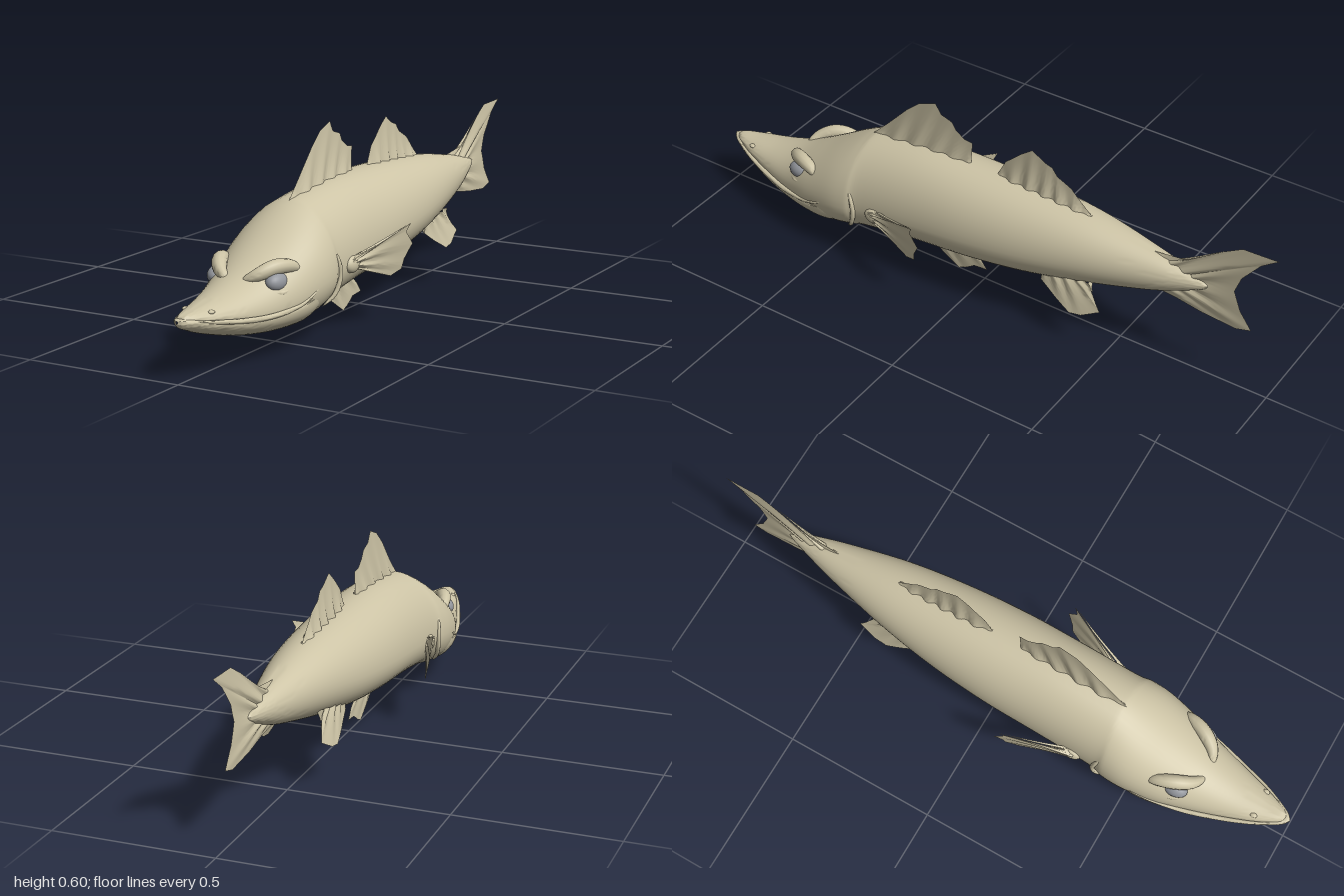
import * as THREE from 'three';
import { toCreasedNormals } from 'three/addons/utils/BufferGeometryUtils.js';

const V = (x, y, z) => new THREE.Vector3(x, y, z);
const lerp = THREE.MathUtils.lerp;

// Skin a list of closed rings; the winding is turned outward by the sign of the volume
function loft(rings, crease = 0.8) {
  const n = rings[0].length, pos = [], idx = [];
  const centre = V(0, 0, 0);
  rings.flat().forEach(p => { pos.push(p.x, p.y, p.z); centre.add(p); });
  centre.divideScalar(pos.length / 3);
  for (let i = 0; i < rings.length - 1; i++) for (let j = 0; j < n; j++) {
    const a = i * n + j, b = i * n + (j + 1) % n;
    idx.push(a, b, b + n, a, b + n, a + n);
  }
  const all = rings.flat().map(p => p.clone().sub(centre));
  let volume = 0;
  for (let k = 0; k < idx.length; k += 3) {
    volume += all[idx[k]].dot(all[idx[k + 1]].clone().cross(all[idx[k + 2]]));
  }
  if (volume < 0) idx.reverse();
  const g = new THREE.BufferGeometry();
  g.setAttribute('position', new THREE.Float32BufferAttribute(pos, 3));
  g.setIndex(idx);
  return toCreasedNormals(g, crease);
}

// Smoothly subdivide a table of stations
function refine(rows, k) {
  const out = [];
  for (let i = 0; i < rows.length - 1; i++) {
    const p0 = rows[Math.max(i - 1, 0)], p1 = rows[i], p2 = rows[i + 1], p3 = rows[Math.min(i + 2, rows.length - 1)];
    for (let s = 0; s < k; s++) {
      const t = s / k;
      out.push(p1.map((a, c) => {
        const slope = p2[c] - p0[c];
        const bend = 2 * p0[c] - 5 * a + 4 * p2[c] - p3[c];
        const twist = 3 * (a - p2[c]) + p3[c] - p0[c];
        return a + 0.5 * t * (slope + t * (bend + t * twist));
      }));
    }
  }
  out.push(rows[rows.length - 1]);
  return out;
}

// Egg-shaped section: [z, top, bottom, half width, height of widest point, squareness below]
function section([z, top, bottom, w, mid, sq]) {
  return Array.from({ length: 48 }, (_, j) => {
    const a = j / 48 * Math.PI * 2, c = Math.cos(a), s = Math.sin(a);
    const p = s < 0 ? sq : 1;
    return V(Math.sign(c) * Math.pow(Math.abs(c), p) * w, mid + s * (s > 0 ? top - mid : mid - bottom), z);
  });
}
const hull = rows => loft(refine(rows, 6).map(section));

// Tapered roll of flesh along a curve
function roll(points, radius) {
  const curve = new THREE.CatmullRomCurve3(points), n = 24, f = curve.computeFrenetFrames(n);
  return loft(Array.from({ length: n + 1 }, (_, i) => {
    const p = curve.getPointAt(i / n), r = radius * Math.sqrt(Math.sin(Math.PI * i / n) + 0.0001);
    return Array.from({ length: 12 }, (_, j) => {
      const a = j / 12 * Math.PI * 2;
      return p.clone().addScaledVector(f.normals[i], r * Math.cos(a)).addScaledVector(f.binormals[i], r * Math.sin(a));
    });
  }));
}

// Point at a fraction u of a [z, y] polyline
function along(line, u) {
  const f = u * (line.length - 1), i = Math.min(Math.floor(f), line.length - 2);
  return [0, 1].map(c => lerp(line[i][c], line[i + 1][c], f - i));
}

// Ribbed fin running from a root line to an outer edge, thinning outward
function fin(root, edge, thick, rays, place = V) {
  const cols = (edge.length - 1) * 6, rows = 8, rings = [];
  for (let i = 0; i <= rows; i++) {
    const t = i / rows, front = [], back = [];
    for (let j = 0; j <= cols; j++) {
      const u = j / cols, a = along(root, u), b = along(edge, u);
      const z = lerp(a[0], b[0], t), y = lerp(a[1], b[1], t);
      const h = (thick * (1 - t) ** 2 + 0.004 * (1 - t) + 0.001) * (1 + 0.4 * Math.cos(u * rays * Math.PI * 2));
      front.push(place(h, y, z));
      back.unshift(place(-h, y, z));
    }
    rings.push([...front, ...back]);
  }
  return loft(rings, 0.6);
}

export function createModel() {
  const skin = new THREE.MeshStandardMaterial({ color: 0xcdc4a6 });
  skin.name = 'sandy skin';
  const eyeGrey = new THREE.MeshStandardMaterial({ color: 0x93969c });
  eyeGrey.name = 'eye grey';
  const model = new THREE.Group();
  model.name = 'fish';
  const add = (name, geometry, material = skin) => {
    const m = new THREE.Mesh(geometry, material);
    m.name = name;
    model.add(m);
    return m;
  };

  // Body with the upper head and snout
  add('body', hull([
    [0.985, 0.182, 0.178, 0.002, 0.18, 1],
    [0.97, 0.192, 0.168, 0.022, 0.178, 1],
    [0.9, 0.2, 0.145, 0.055, 0.168, 1],
    [0.8, 0.218, 0.12, 0.089, 0.155, 0.9],
    [0.7, 0.25, 0.1, 0.12, 0.152, 0.8],
    [0.6, 0.302, 0.08, 0.15, 0.17, 0.7],
    [0.5, 0.362, 0.075, 0.167, 0.195, 0.72],
    [0.43, 0.4, 0.085, 0.167, 0.205, 0.8],
    [0.38, 0.415, 0.093, 0.157, 0.215, 0.85],
    [0.2, 0.435, 0.115, 0.155, 0.235, 0.95],
    [0, 0.437, 0.13, 0.153, 0.255, 1],
    [-0.2, 0.43, 0.155, 0.138, 0.275, 1],
    [-0.4, 0.413, 0.195, 0.108, 0.3, 1],
    [-0.6, 0.38, 0.245, 0.062, 0.315, 1],
    [-0.7, 0.358, 0.282, 0.034, 0.322, 1],
    [-0.77, 0.34, 0.315, 0.012, 0.328, 1],
    [-0.785, 0.331, 0.329, 0.001, 0.33, 1]]));

  // Lower jaw, reaching a little past the snout
  add('lowerJaw', hull([
    [1, 0.181, 0.172, 0.002, 0.177, 1],
    [0.985, 0.184, 0.157, 0.02, 0.176, 1],
    [0.95, 0.181, 0.143, 0.041, 0.17, 0.95],
    [0.9, 0.172, 0.124, 0.063, 0.16, 0.9],
    [0.8, 0.157, 0.096, 0.098, 0.145, 0.8],
    [0.7, 0.15, 0.079, 0.127, 0.14, 0.72],
    [0.6, 0.16, 0.072, 0.151, 0.148, 0.68],
    [0.52, 0.17, 0.074, 0.158, 0.16, 0.68],
    [0.45, 0.17, 0.1, 0.14, 0.16, 0.7]]));

  // Dorsal fins
  add('frontDorsalFin', fin([[0.41, 0.39], [0.05, 0.42]],
    [[0.42, 0.405], [0.36, 0.465], [0.29, 0.54], [0.24, 0.583], [0.18, 0.606], [0.16, 0.572], [0.12, 0.56],
      [0.105, 0.535], [0.075, 0.515], [0.045, 0.51], [0.05, 0.43]], 0.011, 5));
  add('rearDorsalFin', fin([[-0.05, 0.42], [-0.385, 0.405]],
    [[-0.045, 0.43], [-0.075, 0.49], [-0.13, 0.54], [-0.17, 0.57], [-0.21, 0.545], [-0.24, 0.535],
      [-0.26, 0.51], [-0.31, 0.485], [-0.345, 0.45], [-0.385, 0.413]], 0.011, 6));

  // Forked tail
  add('tailFin', fin([[-0.6, 0.365], [-0.7, 0.34], [-0.7, 0.3], [-0.6, 0.26]],
    [[-0.58, 0.378], [-0.72, 0.395], [-0.82, 0.475], [-0.88, 0.51], [-0.995, 0.515], [-0.94, 0.475], [-0.885, 0.405],
      [-0.866, 0.35], [-0.89, 0.285], [-0.93, 0.23], [-0.88, 0.215], [-0.77, 0.225], [-0.68, 0.24], [-0.58, 0.25]],
    0.006, 7));

  // Belly fin
  add('bellyFin', fin([[0.25, 0.13], [0.08, 0.14]],
    [[0.245, 0.108], [0.165, 0.045], [0.1, 0.004], [0.075, 0.015], [0.04, 0.038], [-0.01, 0.042],
      [0.015, 0.075], [0.09, 0.125]], 0.007, 4));

  for (const s of [1, -1]) {
    const side = s > 0 ? 'left' : 'right';
    const P = (x, y, z) => V(s * x, y, z);

    // Paired fins, splayed from the flanks
    add(side + 'PectoralFin', fin([[0.33, 0.23], [0.33, 0.2]],
      [[0.3, 0.24], [0.19, 0.27], [0.11, 0.306], [0.122, 0.28], [0.09, 0.24], [0.115, 0.195], [0.12, 0.165],
        [0.16, 0.15], [0.2, 0.18], [0.3, 0.2]], 0.007, 5,
      (x, y, z) => P(0.148 + x + (0.33 - z) * 0.33 + (y - 0.2) * 0.16, y, z)));
    add(side + 'RearFin', fin([[-0.27, 0.215], [-0.43, 0.24]],
      [[-0.265, 0.185], [-0.32, 0.15], [-0.38, 0.118], [-0.42, 0.125], [-0.48, 0.157], [-0.46, 0.18], [-0.44, 0.21]],
      0.006, 4, (x, y, z) => P(0.08 + x + (0.22 - y) * 0.3, y, z)));
    const knob = add(side + 'FinBase', new THREE.SphereGeometry(1, 20, 14));
    knob.scale.set(0.018, 0.026, 0.035);
    knob.position.set(s * 0.153, 0.213, 0.315);

    // Eye, heavy brow and lower lid
    const eye = add(side + 'Eye', new THREE.SphereGeometry(1, 28, 20), eyeGrey);
    eye.scale.set(0.028, 0.029, 0.042);
    eye.position.set(s * 0.096, 0.225, 0.648);
    add(side + 'Brow', roll([P(0.118, 0.235, 0.55), P(0.112, 0.26, 0.59), P(0.092, 0.266, 0.645),
      P(0.062, 0.25, 0.69), P(0.02, 0.228, 0.715)], 0.023));
    add(side + 'LowerLid', roll([P(0.132, 0.222, 0.58), P(0.126, 0.203, 0.62), P(0.112, 0.196, 0.665),
      P(0.082, 0.205, 0.705)], 0.01));

    // Lip rising into the cheek, gill edge and nostril
    add(side + 'Lip', roll([P(0.025, 0.176, 0.975), P(0.06, 0.163, 0.9), P(0.094, 0.148, 0.8), P(0.124, 0.143, 0.7),
      P(0.147, 0.153, 0.6), P(0.158, 0.172, 0.55), P(0.163, 0.195, 0.51)], 0.008));
    add(side + 'GillEdge', roll([P(0.133, 0.295, 0.43), P(0.155, 0.25, 0.405), P(0.159, 0.2, 0.395),
      P(0.15, 0.145, 0.41), P(0.125, 0.11, 0.44)], 0.008));
    const nostril = add(side + 'Nostril', new THREE.SphereGeometry(1, 12, 8));
    nostril.scale.set(0.009, 0.006, 0.012);
    nostril.position.set(s * 0.042, 0.188, 0.895);
  }
  return model;
}
